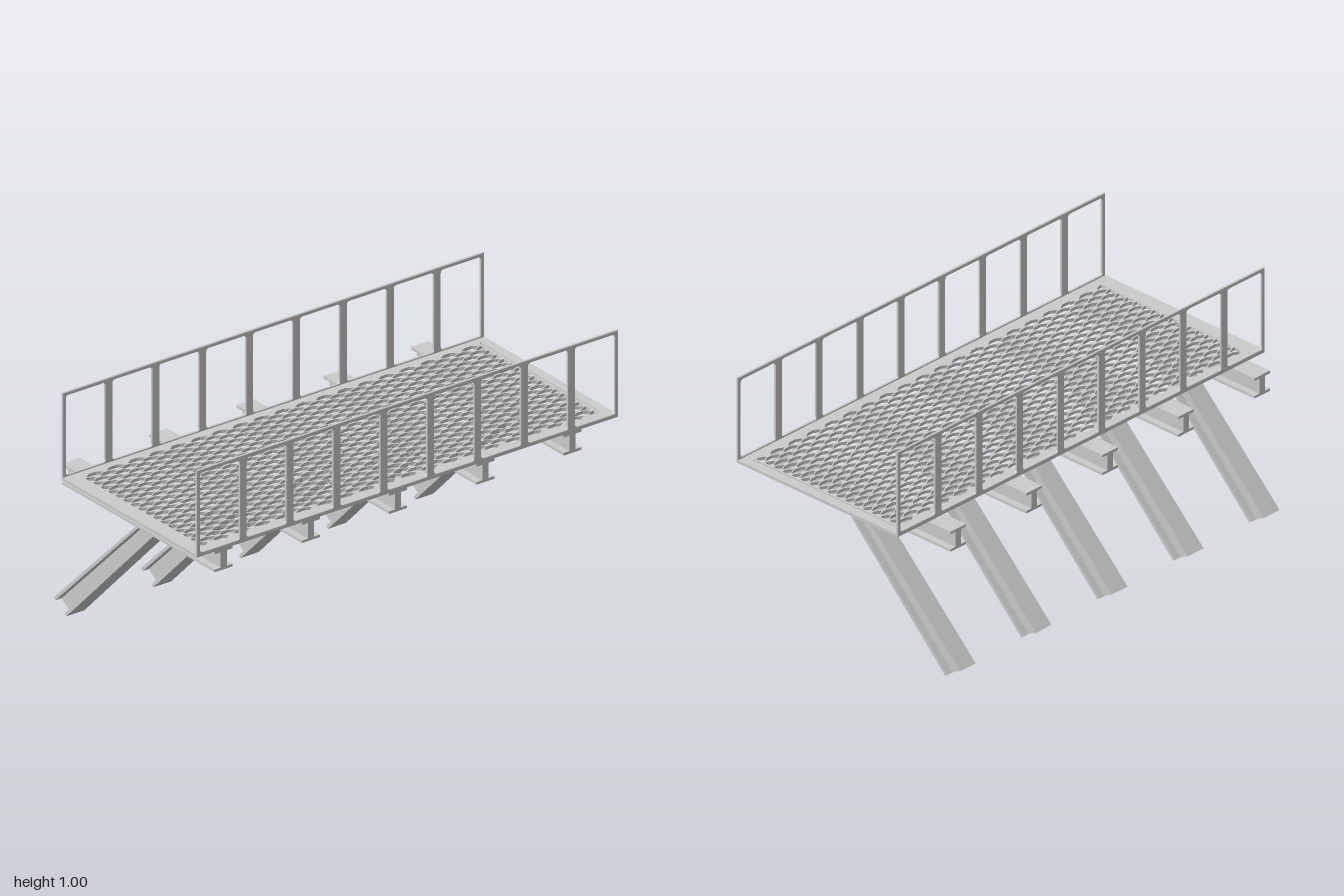
import * as THREE from 'three';

const steel = new THREE.MeshStandardMaterial({ color: 0xcccccc, side: THREE.DoubleSide });

function polygon(points, Type = THREE.Shape) {
  return new Type(points.map(([x, y]) => new THREE.Vector2(x, y)));
}

function rectangle(x0, x1, y0, y1, Type = THREE.Shape) {
  return polygon([[x0, y0], [x1, y0], [x1, y1], [x0, y1]], Type);
}

function addMesh(parent, name, geometry) {
  const mesh = new THREE.Mesh(geometry, steel);
  mesh.name = name;
  parent.add(mesh);
  return mesh;
}

// Rectangular opening with small rounded corners
function roundedOpening(x0, x1, y0, y1, r) {
  const p = new THREE.Path();
  p.moveTo(x0 + r, y0);
  p.lineTo(x1 - r, y0);
  p.quadraticCurveTo(x1, y0, x1, y0 + r);
  p.lineTo(x1, y1 - r);
  p.quadraticCurveTo(x1, y1, x1 - r, y1);
  p.lineTo(x0 + r, y1);
  p.quadraticCurveTo(x0, y1, x0, y1 - r);
  p.lineTo(x0, y0 + r);
  p.quadraticCurveTo(x0, y0, x0 + r, y0);
  return p;
}

// Walkway plate with staggered six-sided holes, halved at the ends
function deckGeometry() {
  const left = -0.935, right = 0.945, front = 0.45, back = -0.295;
  const columns = 19, rows = 32;
  const pitch = (right - left) / columns;
  const step = (front - back) / rows;
  const w = 0.039, flat = 0.016, h = 0.0145;
  const plate = rectangle(-1, 1, -0.338, 0.5);

  for (let r = 0; r < rows; r++) {
    const z = back + (r + 0.5) * step;
    const odd = r % 2;
    for (let c = 0; c < columns + odd; c++) {
      const x = left + (c + (odd ? 0 : 0.5)) * pitch;
      let points = [[-w, 0], [-flat, -h], [flat, -h], [w, 0], [flat, h], [-flat, h]];
      if (odd && c === 0) points = [[0, -h], [flat, -h], [w, 0], [flat, h], [0, h]];
      if (odd && c === columns) points = [[-w, 0], [-flat, -h], [0, -h], [0, h], [-flat, h]];
      plate.holes.push(polygon(points.map(([a, b]) => [x + a, z + b]), THREE.Path));
    }
  }
  // Narrow slot along one end of the mesh
  plate.holes.push(rectangle(0.953, 0.96, -0.3, 0.455, THREE.Path));

  return new THREE.ExtrudeGeometry(plate, { depth: 0.013, bevelEnabled: false })
    .rotateX(Math.PI / 2).translate(0, 0.645, 0);
}

// Guard rail: one long frame with nine openings
function railGeometry() {
  const frame = rectangle(-1, 1, 0.635, 1);
  const panels = 9, pitch = 0.2225, post = 0.034, first = -0.78;
  for (let i = 0; i < panels; i++) {
    const x0 = i === 0 ? -0.984 : first + (i - 1) * pitch + post / 2;
    const x1 = i === panels - 1 ? 0.984 : first + i * pitch - post / 2;
    frame.holes.push(roundedOpening(x0, x1, 0.651, 0.985, 0.012));
  }
  const bevel = 0.003;
  return new THREE.ExtrudeGeometry(frame, {
    depth: 0.005, bevelThickness: bevel, bevelSize: bevel,
    bevelOffset: -bevel, bevelSegments: 2, curveSegments: 4,
  }).translate(0, 0, -0.0025);
}

// I-section beam running front to back
function beamGeometry() {
  const f = 0.0425, w = 0.0145, y0 = 0.545, y1 = 0.632, t = 0.011;
  const section = polygon([
    [-f, y0], [f, y0], [f, y0 + t], [w, y0 + t], [w, y1 - t], [f, y1 - t],
    [f, y1], [-f, y1], [-f, y1 - t], [-w, y1 - t], [-w, y0 + t], [-f, y0 + t],
  ]);
  return new THREE.ExtrudeGeometry(section, { depth: 0.952, bevelEnabled: false })
    .translate(0, 0, -0.452);
}

// Slanted strip of a brace between two fractions of its depth
function braceStrip(a, b, width) {
  const top = t => [THREE.MathUtils.lerp(0.116, 0.007, t), 0.546];
  const foot = t => [THREE.MathUtils.lerp(-0.425, -0.503, t), THREE.MathUtils.lerp(0, 0.05, t)];
  const side = polygon([top(a), foot(a), foot(b), top(b)]);
  return new THREE.ExtrudeGeometry(side, { depth: width, bevelEnabled: false })
    .translate(0, 0, -width / 2).rotateY(-Math.PI / 2);
}

export function createModel() {
  const model = new THREE.Group();
  model.name = 'walkwayPlatform';

  addMesh(model, 'perforatedDeck', deckGeometry());

  const rail = railGeometry();
  addMesh(model, 'frontRail', rail).position.z = 0.5;
  addMesh(model, 'backRail', rail).position.z = -0.336;

  // Five cross beams, each on a diagonal brace
  const beam = beamGeometry();
  const strips = [
    ['lowerFlange', braceStrip(0, 0.15, 0.085)],
    ['web', braceStrip(0.15, 0.85, 0.029)],
    ['upperFlange', braceStrip(0.85, 1, 0.085)],
  ];
  for (let i = 0; i < 5; i++) {
    const support = new THREE.Group();
    support.name = 'support';
    support.position.x = -0.869 + i * 0.4138;
    addMesh(support, 'crossBeam', beam);
    const brace = new THREE.Group();
    brace.name = 'diagonalBrace';
    strips.forEach(([name, geometry]) => addMesh(brace, name, geometry));
    support.add(brace);
    model.add(support);
  }
  return model;
}
